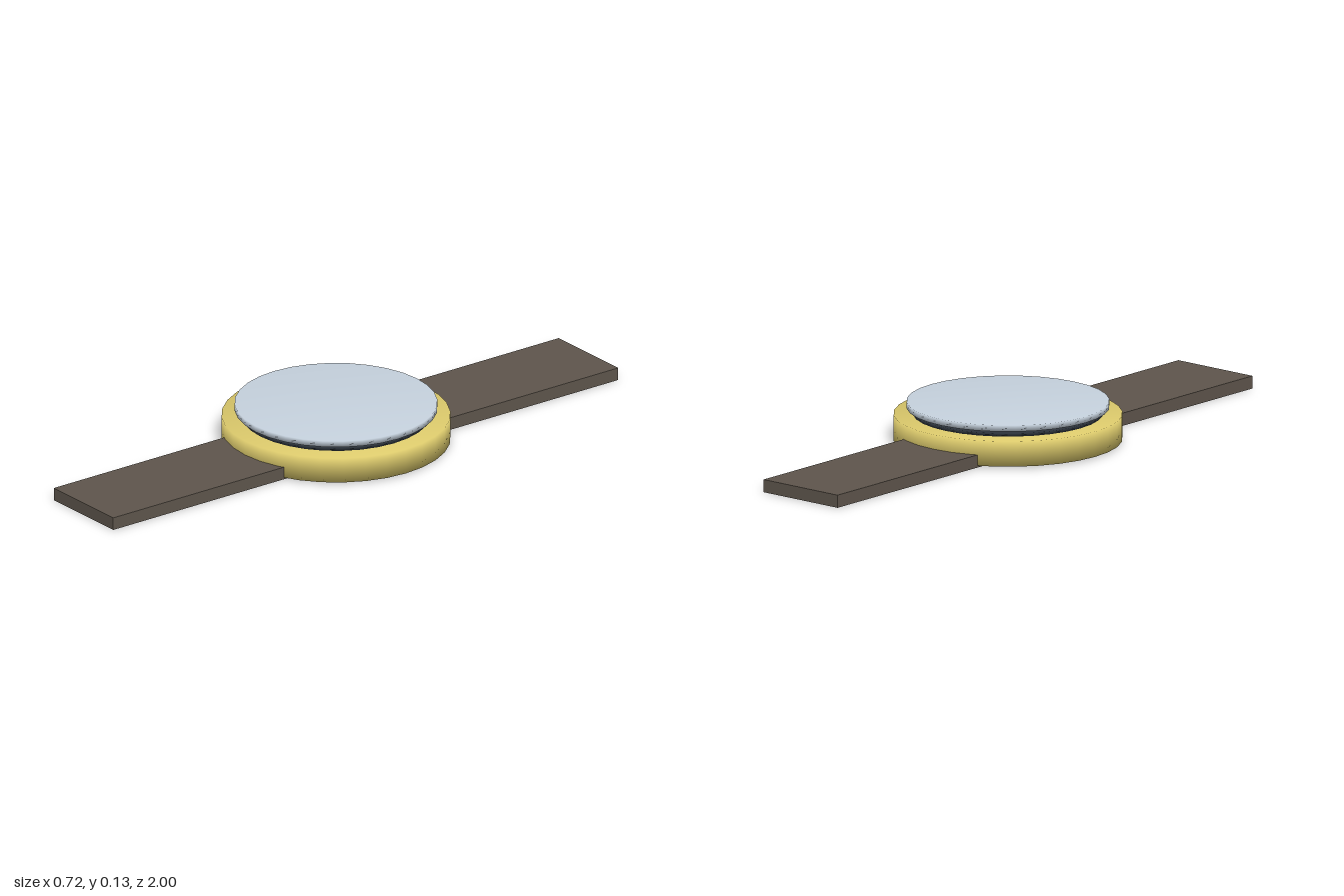
import * as THREE from 'three';
import { mergeVertices } from 'three/addons/utils/BufferGeometryUtils.js';

const GOLD = 0xdcca6c, LEATHER = 0x5e554c, GLASS = 0xc6d2de, DARK = 0x2c333b;

function add(group, name, geometry, color, x, y, z) {
  const mesh = new THREE.Mesh(geometry, new THREE.MeshStandardMaterial({ color }));
  mesh.name = name;
  mesh.position.set(x, y, z);
  group.add(mesh);
}

// Flat disc between two heights, its normals blended over the rim
function addDisc(group, name, radius, bottom, top, color) {
  let disc = new THREE.CylinderGeometry(radius, radius, top - bottom, 32);
  disc.deleteAttribute('uv');
  disc.deleteAttribute('normal');
  disc = mergeVertices(disc);
  disc.computeVertexNormals();
  add(group, name, disc, color, 0, (bottom + top) / 2, 0);
}

export function createModel() {
  const watch = new THREE.Group();
  watch.name = 'wristwatch';

  // Case, dial and cover glass, stacked with a small gap for the hands
  addDisc(watch, 'case', 0.36, 0.006, 0.088, GOLD);
  addDisc(watch, 'dial', 0.299, 0.088, 0.098, DARK);
  addDisc(watch, 'coverGlass', 0.319, 0.109, 0.129, GLASS);

  // Hands
  add(watch, 'minuteHand', new THREE.BoxGeometry(0.018, 0.005, 0.24), GOLD, -0.004, 0.1055, 0.12);
  add(watch, 'hourHand', new THREE.BoxGeometry(0.165, 0.005, 0.018), GOLD, 0.0825, 0.1055, 0.004);

  // Strap halves, tucked under the case
  for (const side of [1, -1]) {
    add(watch, side > 0 ? 'frontStrap' : 'backStrap',
      new THREE.BoxGeometry(0.306, 0.041, 0.77), LEATHER, 0, 0.0205, side * 0.615);
  }
  return watch;
}
